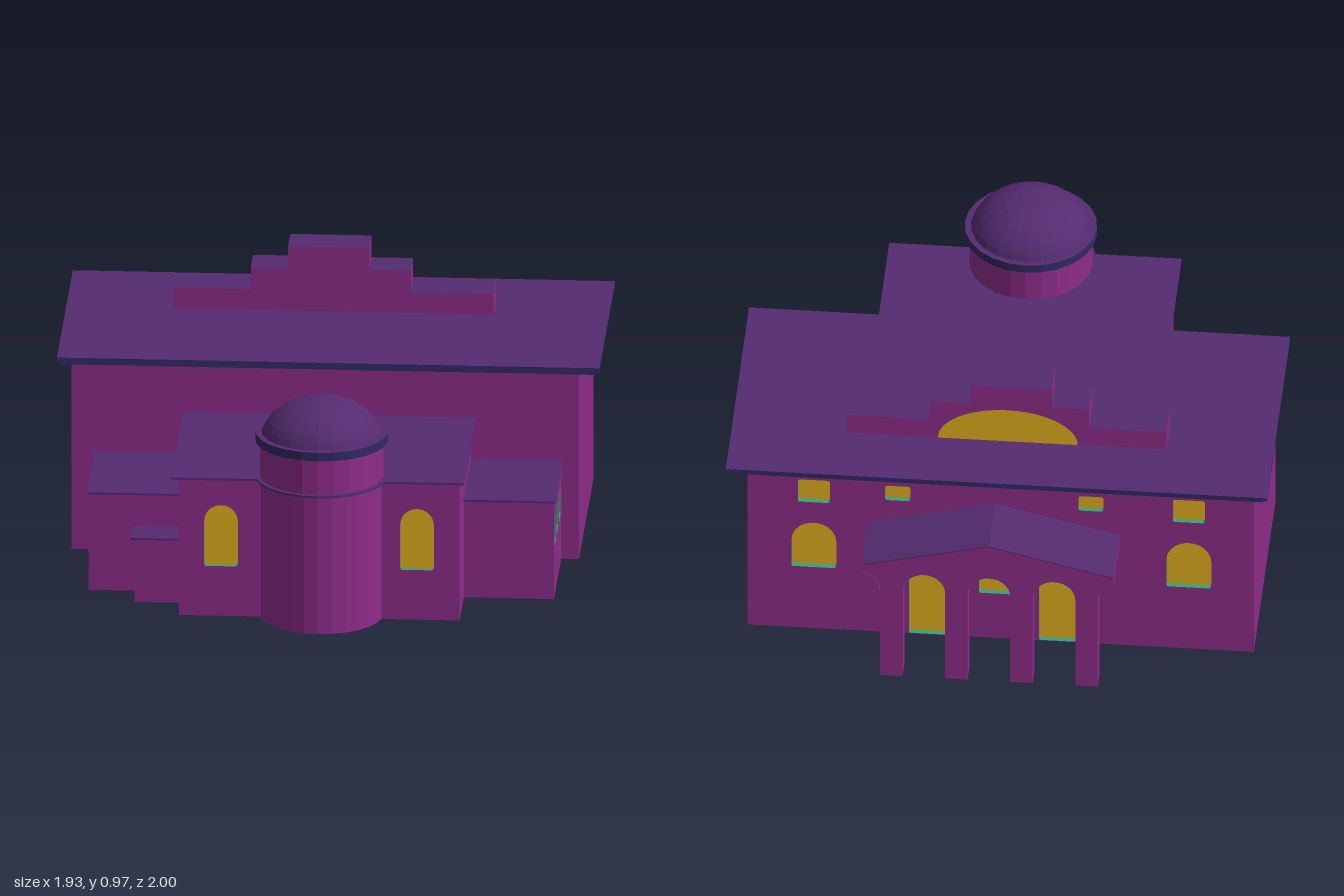
import * as THREE from 'three';

const mat = (name, color, side = THREE.DoubleSide) => new THREE.MeshStandardMaterial({ name, color, side });
const wallMat = mat('plum wall', 0x8e2c8a);
const roofMat = mat('violet roof', 0x542b70);
const trimMat = mat('navy trim', 0x302a64);
const paneMat = mat('gold pane', 0xe0b01e);
const revealMat = mat('green reveal', 0x3aa078);

export function createModel() {
  const root = new THREE.Group();
  root.name = 'building';

  const add = (name, geo, material, parent = root) => {
    const m = new THREE.Mesh(geo, material);
    m.name = name;
    parent.add(m);
    return m;
  };
  const faceted = (geo) => {
    const g = geo.toNonIndexed();
    g.computeVertexNormals();
    return g;
  };
  const polygon = (pts) => new THREE.Shape(pts.map(([x, y]) => new THREE.Vector2(x, y)));

  // Box by its limits; the top and bottom may take other colours
  const block = (name, x0, x1, y0, y1, z0, z1, side, top = side, bottom = side) => {
    const g = new THREE.BoxGeometry(x1 - x0, y1 - y0, z1 - z0);
    g.translate((x0 + x1) / 2, (y0 + y1) / 2, (z0 + z1) / 2);
    return add(name, g, [side, side, top, bottom, side, side]);
  };

  // Outline of an opening: centre u, sill v, width, height; softened corners, round top if arched
  const openingPoints = ({ u, v, w, h, arch }) => {
    const pts = [];
    const corner = (x, y, r, start, steps) => {
      for (let i = 0; i <= steps; i++) {
        const a = Math.PI / 2 * (start + i / steps);
        pts.push([x + r * Math.cos(a), y + r * Math.sin(a)]);
      }
    };
    const s = 0.008, t = arch ? w / 2 : s, n = arch ? 7 : 2;
    corner(u + w / 2 - s, v + s, s, 3, 2);
    corner(u + w / 2 - t, v + h - t, t, 0, n);
    corner(u - w / 2 + t, v + h - t, t, 1, n);
    corner(u - w / 2 + s, v + s, s, 2, 2);
    return pts;
  };

  // Recess sides around an opening
  const revealGeometry = (pts, depth) => {
    const pos = [];
    pts.forEach(([x, y], i) => {
      const [p, q] = pts[(i + 1) % pts.length];
      pos.push(x, y, 0, x, y, -depth, p, q, -depth, x, y, 0, p, q, -depth, p, q, 0);
    });
    const g = new THREE.BufferGeometry();
    g.setAttribute('position', new THREE.Float32BufferAttribute(pos, 3));
    g.computeVertexNormals();
    return g;
  };

  // Upright wall sheet with recessed windows
  const turns = { front: 0, back: Math.PI, left: Math.PI / 2, right: -Math.PI / 2 };
  const wall = (name, facing, offset, outline, openings = []) => {
    const group = new THREE.Group();
    group.name = name;
    group.rotation.y = turns[facing];
    group.position.set(Math.sin(turns[facing]) * offset, 0, Math.cos(turns[facing]) * offset);
    const shape = polygon(outline), depth = 0.02;
    for (const o of openings) {
      const pts = openingPoints(o);
      shape.holes.push(polygon(pts));
      add('windowPane', new THREE.ShapeGeometry(polygon(pts)), paneMat, group).position.z = -depth;
      add('windowReveal', revealGeometry(pts, depth), revealMat, group);
    }
    add(name + 'Sheet', new THREE.ShapeGeometry(shape), wallMat, group);
    root.add(group);
  };
  const rect = (u0, u1, h) => [[u0, 0], [u1, 0], [u1, h], [u0, h]];

  // Main hall, open to the lower front rooms
  wall('hallFront', 'front', 0.12, [[-0.917, 0], [-0.83, 0], [-0.83, 0.37], [-0.493, 0.37], [-0.493, 0.52],
    [0.508, 0.52], [0.508, 0.37], [0.829, 0.37], [0.829, 0], [0.892, 0], [0.892, 0.7], [-0.917, 0.7]]);
  wall('hallLeft', 'left', 0.892, rect(-0.12, 0.75, 0.7));
  wall('hallRight', 'right', 0.917, rect(-0.75, 0.12, 0.7));
  const backOpenings = [{ u: -0.0055, v: 0.2, w: 0.12, h: 0.11, arch: true }];
  for (const x of [0.655, -0.685]) {
    backOpenings.push({ u: -x, v: 0.275, w: 0.16, h: 0.2, arch: true });
    backOpenings.push({ u: -x, v: 0.567, w: 0.115, h: 0.1 });
  }
  for (const x of [0.355, -0.335]) backOpenings.push({ u: -x, v: 0.595, w: 0.09, h: 0.065 });
  for (const x of [0.238, -0.227]) backOpenings.push({ u: -x, v: 0.002, w: 0.155, h: 0.31, arch: true });
  wall('hallBack', 'back', 0.75, rect(-0.892, 0.917, 0.7), backOpenings);
  block('corniceLower', -0.952, 0.951, 0.7, 0.715, -0.78, 0.132, trimMat, trimMat, wallMat);
  block('corniceUpper', -0.968, 0.966, 0.715, 0.73, -0.794, 0.146, trimMat, roofMat, wallMat);

  // Stepped parapet with a gold lunette on its back
  const z0 = -0.543, z1 = -0.408;
  block('parapetBase', -0.587, 0.556, 0.73, 0.807, z0, z1, wallMat, roofMat);
  block('parapetMiddle', -0.31, 0.261, 0.807, 0.89, z0, z1, wallMat, roofMat);
  block('parapetTop', -0.177, 0.113, 0.89, 0.972, z0, z1, wallMat, roofMat);
  const lunette = [];
  for (let i = 0; i <= 24; i++) {
    const a = Math.PI * i / 24;
    lunette.push([-0.02 + 0.25 * Math.cos(a), 0.731 + 0.14 * Math.sin(a)]);
  }
  add('lunette', new THREE.ShapeGeometry(polygon(lunette)), paneMat).position.z = z0 - 0.004;

  // Front room
  const arched = (u) => [{ u, v: 0.187, w: 0.12, h: 0.23, arch: true }];
  wall('roomFrontRight', 'front', 0.805, rect(-0.493, -0.203, 0.52), arched(-0.343));
  wall('roomFrontLeft', 'front', 0.805, rect(0.229, 0.508, 0.52), arched(0.356));
  wall('roomLeft', 'left', 0.508, [[-0.805, 0], [-0.555, 0], [-0.555, 0.37], [-0.12, 0.37], [-0.12, 0.52], [-0.805, 0.52]]);
  wall('roomRight', 'right', 0.493, [[0.12, 0.37], [0.555, 0.37], [0.555, 0.24], [0.68, 0.24], [0.68, 0],
    [0.805, 0], [0.805, 0.52], [0.12, 0.52]]);

  // Room roof, rounded around the tower and open inside it
  const tx = 0.013, tz = 0.762, tr = 0.22, edge = [[-0.52, -0.12], [-0.52, -0.825]];
  for (let i = 0; i <= 16; i++) {
    const a = -1.3 + 2.6 * i / 16;
    edge.push([tx + 0.235 * Math.sin(a), -tz - 0.235 * Math.cos(a)]);
  }
  edge.push([0.525, -0.825], [0.525, -0.12]);
  const roofShape = polygon(edge);
  roofShape.holes.push(new THREE.Path().absarc(tx, -tz, tr - 0.003, 0, Math.PI * 2));
  const roomRoof = new THREE.ExtrudeGeometry(roofShape, { depth: 0.008, bevelEnabled: false, curveSegments: 12 });
  roomRoof.rotateX(-Math.PI / 2);
  add('roomRoof', roomRoof, roofMat).position.y = 0.517;

  // Round tower with trim ring and dome
  const tower = new THREE.Group();
  tower.name = 'tower';
  tower.position.set(tx, 0, tz);
  root.add(tower);
  const half = Math.acos(0.043 / tr);
  const shaft = new THREE.CylinderGeometry(tr, tr, 0.52, 12, 1, true, -half, 2 * half);
  add('towerShaft', faceted(shaft), wallMat, tower).position.y = 0.26;
  add('towerDrum', faceted(new THREE.CylinderGeometry(tr, tr, 0.14, 24, 1, true)), wallMat, tower).position.y = 0.59;
  const lathe = (pts) => faceted(new THREE.LatheGeometry(pts.map(([x, y]) => new THREE.Vector2(x, y)), 24));
  add('towerTrim', lathe([[tr, 0.657], [0.236, 0.657], [0.236, 0.689]]), trimMat, tower);
  const domeProfile = [[0.236, 0.689]];
  for (let i = 0; i <= 9; i++) {
    const a = 0.25 + (Math.PI / 2 - 0.25) * i / 9;
    domeProfile.push([0.221 * Math.cos(a), 0.647 + 0.168 * Math.sin(a)]);
  }
  add('dome', lathe(domeProfile), roofMat, tower);

  // Side wings, each with three square windows
  const squares = (s) => [0.475, 0.341, 0.207].map((z) => ({ u: s * z, v: 0.184, w: 0.094, h: 0.107 }));
  wall('wingLeftFront', 'front', 0.555, rect(0.508, 0.829, 0.37));
  wall('wingLeftSide', 'left', 0.829, rect(-0.555, -0.12, 0.37), squares(-1));
  block('wingLeftRoof', 0.508, 0.835, 0.364, 0.371, 0.12, 0.564, roofMat);
  wall('wingRightFront', 'front', 0.555, [[-0.83, 0], [-0.66, 0], [-0.66, 0.24], [-0.493, 0.24], [-0.493, 0.37], [-0.83, 0.37]]);
  wall('wingRightSide', 'right', 0.83, rect(0.12, 0.555, 0.37), squares(1));
  block('wingRightRoof', -0.837, -0.493, 0.364, 0.371, 0.12, 0.564, roofMat);

  // Small annex in the corner
  wall('annexFront', 'front', 0.675, rect(-0.66, -0.493, 0.24));
  wall('annexSide', 'right', 0.66, rect(0.555, 0.675, 0.24));
  block('annexRoof', -0.672, -0.493, 0.237, 0.244, 0.555, 0.683, roofMat);

  // Back portico: gabled vaults on four posts, the end vaults cut off at the eaves
  const cx = 0.0075, pitch = 0.2325, r = 0.076, spring = 0.385, west = -0.437, east = 0.463;
  const gable = [[west, 0.49]];
  for (let k = -2; k <= 2; k++) {
    const mid = cx + k * pitch;
    const from = k === -2 ? Math.acos((west - mid) / r) : Math.PI;
    const to = k === 2 ? Math.acos((east - mid) / r) : 0;
    for (let i = 0; i <= 16; i++) {
      const a = from + (to - from) * i / 16;
      gable.push([mid + r * Math.cos(a), spring + r * Math.sin(a)]);
    }
    const vault = new THREE.CylinderGeometry(r - 0.001, r - 0.001, 0.249, 16, 1, true, Math.PI / 2 + to, from - to);
    vault.rotateX(Math.PI / 2);
    add('porticoVault', vault, revealMat).position.set(mid, spring, -0.875);
  }
  gable.push([east, 0.49], [cx, 0.602]);
  const extrude = (pts) => new THREE.ExtrudeGeometry(polygon(pts), { depth: 0.25, bevelEnabled: false });
  add('porticoGable', extrude(gable), wallMat).position.z = -1;
  add('porticoRoof', extrude([[west, 0.49], [cx, 0.602], [east, 0.49], [east, 0.494], [cx, 0.606], [west, 0.494]]),
    roofMat).position.z = -1;
  for (let k = 0; k < 4; k++) {
    const x = cx + (k - 1.5) * pitch;
    block('porticoPost', x - 0.04, x + 0.04, 0, spring, -1, -0.92, wallMat);
  }

  return root;
}
